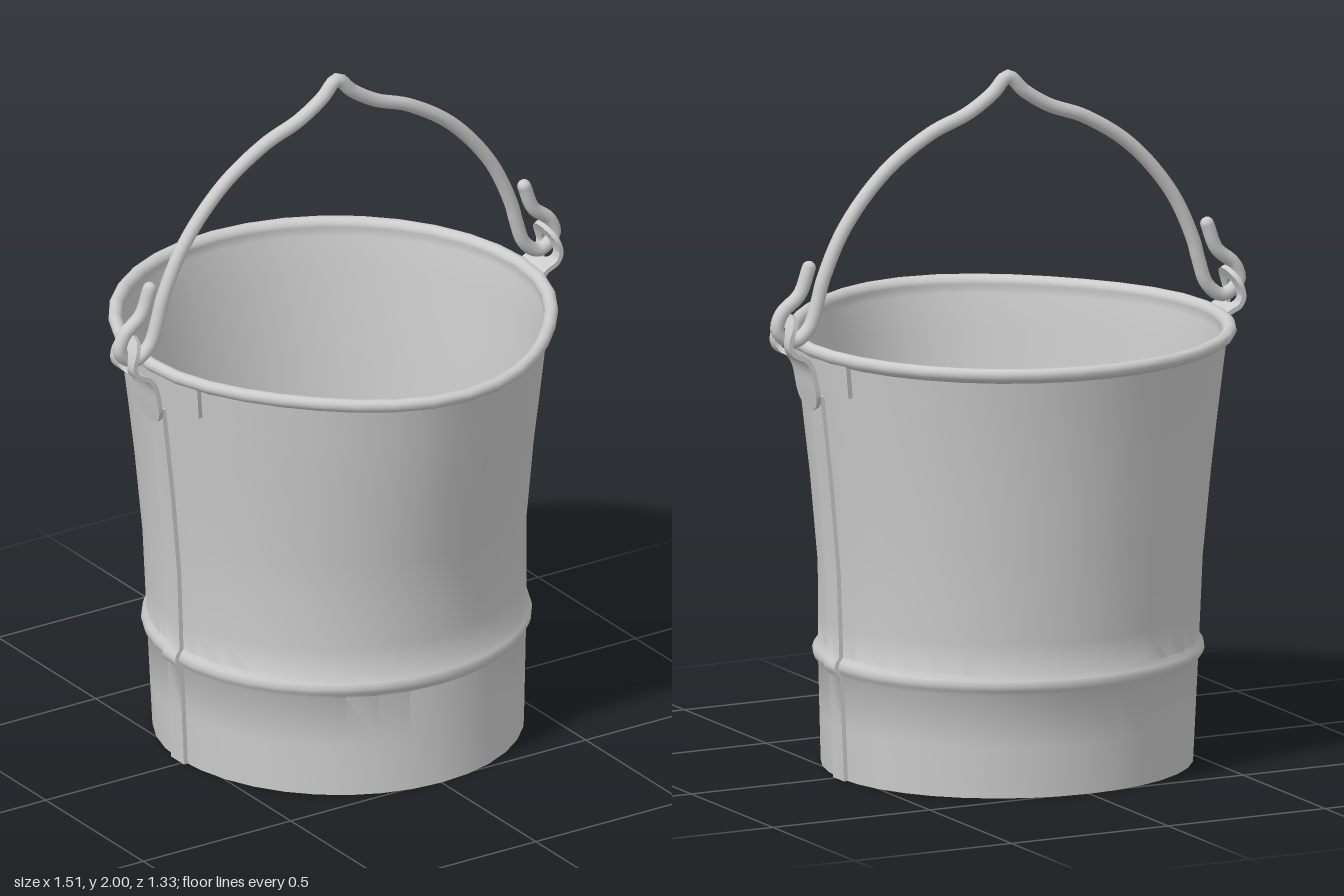
import * as THREE from 'three';
import { toCreasedNormals } from 'three/addons/utils/BufferGeometryUtils.js';

const V = (x, y, z) => new THREE.Vector3(x, y, z);
const Z0 = -0.025; // centre line of the shell
const ZH = -0.02;  // plane of the handle

// Wall size by height: y, half width, front reach, back reach, front pinch
const WALL = [
  [0, 0.53, 0.542, 0.493, 0], [0.3, 0.543, 0.53, 0.512, 0], [0.6, 0.553, 0.535, 0.535, 0.02],
  [0.85, 0.575, 0.58, 0.563, 0.035], [1.0, 0.592, 0.612, 0.58, 0.042], [1.27, 0.622, 0.665, 0.622, 0.055],
];

function wallAt(y) {
  let i = 0;
  while (i < WALL.length - 2 && y > WALL[i + 1][0]) i++;
  const a = WALL[i], b = WALL[i + 1];
  const t = (y - a[0]) / (b[0] - a[0]);
  return a.map((v, k) => v + (b[k] - v) * t);
}

// Point on the wall at an angle and height, moved inward by inset
function wallPoint(angle, y, inset) {
  const [, hx, front, back, pinch] = wallAt(y);
  const c = Math.cos(angle), s = Math.sin(angle);
  const dent = s > 0 ? 1 - pinch * Math.sin(2 * angle) ** 2 : 1;
  const k = (1 - inset / hx) * dent;
  return V(hx * c * k, y, Z0 + (s > 0 ? front : back) * s * k);
}

// Skin through equal rings of points; caps close both ends of a strip
function loft(rows, { flip = false, caps = false, crease = 0.7 } = {}) {
  const m = rows[0].length, n = rows.length, index = [];
  const quad = (a, b, c, d) => index.push(a, b, c, a, c, d);
  const rings = flip ? rows.map((r) => [...r].reverse()) : rows;
  for (let i = 0; i < n - 1; i++) {
    for (let j = 0; j < m; j++) {
      const k = (j + 1) % m;
      quad(i * m + j, (i + 1) * m + j, (i + 1) * m + k, i * m + k);
    }
  }
  if (caps) {
    const e = (n - 1) * m;
    for (let j = 0; j < m / 2 - 1; j++) {
      quad(j, j + 1, m - 2 - j, m - 1 - j);
      quad(e + m - 1 - j, e + m - 2 - j, e + j + 1, e + j);
    }
  }
  const g = new THREE.BufferGeometry().setFromPoints(rings.flat());
  g.setIndex(index);
  return toCreasedNormals(g, crease);
}

export function createModel() {
  const group = new THREE.Group();
  const mat = new THREE.MeshStandardMaterial({ color: 0xcccccc });
  const add = (name, geometry) => {
    const mesh = new THREE.Mesh(geometry, mat);
    mesh.name = name;
    group.add(mesh);
    return mesh;
  };

  // Shell: underside, outer wall with bead, rolled rim, inner wall, floor (y, inset)
  const outer = [
    [0, 0], [0.15, 0], [0.3, 0], [0.315, -0.012], [0.33, -0.017], [0.345, -0.012], [0.36, 0],
    [0.45, 0], [0.6, 0], [0.72, 0], [0.85, 0], [1.0, 0], [1.12, 0], [1.225, 0],
  ];
  const rim = [];
  for (let i = 0; i <= 10; i++) {
    const a = ((-60 + i * 28) * Math.PI) / 180;
    rim.push([1.25 + 0.02 * Math.sin(a), -0.005 - 0.02 * Math.cos(a)]);
  }
  const profile = [
    [0.04, 0.5299], [0.04, 0.36], [0.03, 0.347], [0.03, 0.06], [0.024, 0.03], [0.008, 0.014], [0, 0.01],
    ...outer, ...rim,
    [1.22, 0.012], [1.12, 0.012], [1.0, 0.012], [0.85, 0.012], [0.72, 0.012], [0.6, 0.012], [0.45, 0.012],
    [0.36, 0.012], [0.33, -0.004], [0.3, 0.012], [0.15, 0.012], [0.07, 0.014],
    [0.05, 0.026], [0.042, 0.045], [0.042, 0.347], [0.052, 0.36], [0.052, 0.5299],
  ];
  const SEG = 36;
  add('bucketShell', loft(profile.map(([y, inset]) =>
    Array.from({ length: SEG }, (_, j) => wallPoint((j / SEG) * Math.PI * 2, y, inset)))));

  for (const side of [1, -1]) {
    const label = side > 0 ? 'left' : 'right';
    const opts = { flip: side < 0, caps: true };

    // Vertical seam strip running over the bead
    const seam = outer.filter(([y]) => y < 1.15).map(([y, inset]) => {
      const x = wallAt(y)[1] - inset;
      return [[0.01, -1], [0.01, 1], [-0.004, 1], [-0.004, -1]]
        .map(([o, w]) => V(side * (x + o), y, ZH + w * 0.033));
    });
    add(label + 'Seam', loft(seam, opts));

    // Curved mounting plate below the rim
    const plate = [1.14, 1.235].map((y) => {
      const line = (inset) => Array.from({ length: 9 }, (_, j) => {
        const p = wallPoint(Math.asin((-0.175 + j * 0.045) / 0.645), y, inset);
        return V(side * p.x, y, p.z);
      });
      return [...line(-0.014), ...line(0.003).reverse()];
    });
    add(label + 'Plate', loft(plate, opts));

    // Bent ear with a slot for the handle, made as two mirrored halves
    const path = new THREE.CatmullRomCurve3([
      V(0.624, 1.08, 0), V(0.637, 1.14, 0), V(0.652, 1.205, 0), V(0.672, 1.235, 0),
      V(0.71, 1.255, 0), V(0.722, 1.28, 0), V(0.712, 1.32, 0), V(0.69, 1.36, 0)]);
    const length = path.getLength(), STEPS = 36;
    for (const half of [1, -1]) {
      const rows = [];
      for (let i = 0; i <= STEPS; i++) {
        const u = i / STEPS;
        const p = path.getPointAt(u), t = path.getTangentAt(u);
        const end = Math.min(0.06, Math.min(u, 1 - u) * length);
        const w = Math.max(0.012, Math.sqrt(0.0036 - (0.06 - end) ** 2));
        const h = 0.028 * Math.sqrt(Math.max(0, 1 - ((u - 0.75) / 0.13) ** 2));
        const [lo, hi] = half > 0 ? [h, w] : [-w, -h];
        rows.push([[0.007, lo], [0.007, hi], [-0.007, hi], [-0.007, lo]]
          .map(([o, z]) => V(side * (p.x + t.y * o), p.y - t.x * o, ZH + z)));
      }
      add(label + 'Ear', loft(rows, opts));
    }
  }

  // Wire handle with a peaked top and hooked ends
  const arm = [
    [0.635, 1.49], [0.665, 1.415], [0.722, 1.365], [0.735, 1.315], [0.685, 1.28], [0.635, 1.315],
    [0.607, 1.39], [0.59, 1.45], [0.52, 1.595], [0.39, 1.745], [0.245, 1.84], [0.13, 1.885], [0.05, 1.935],
  ];
  const wire = [
    ...arm.map(([x, y]) => V(x, y, ZH)), V(0, 1.98, ZH),
    ...[...arm].reverse().map(([x, y]) => V(-x, y, ZH)),
  ];
  add('handle', new THREE.TubeGeometry(new THREE.CatmullRomCurve3(wire), 180, 0.02, 12));
  for (const s of [1, -1]) {
    add('handleEnd', new THREE.SphereGeometry(0.02, 12, 8)).position.set(s * arm[0][0], arm[0][1], ZH);
  }
  return group;
}
